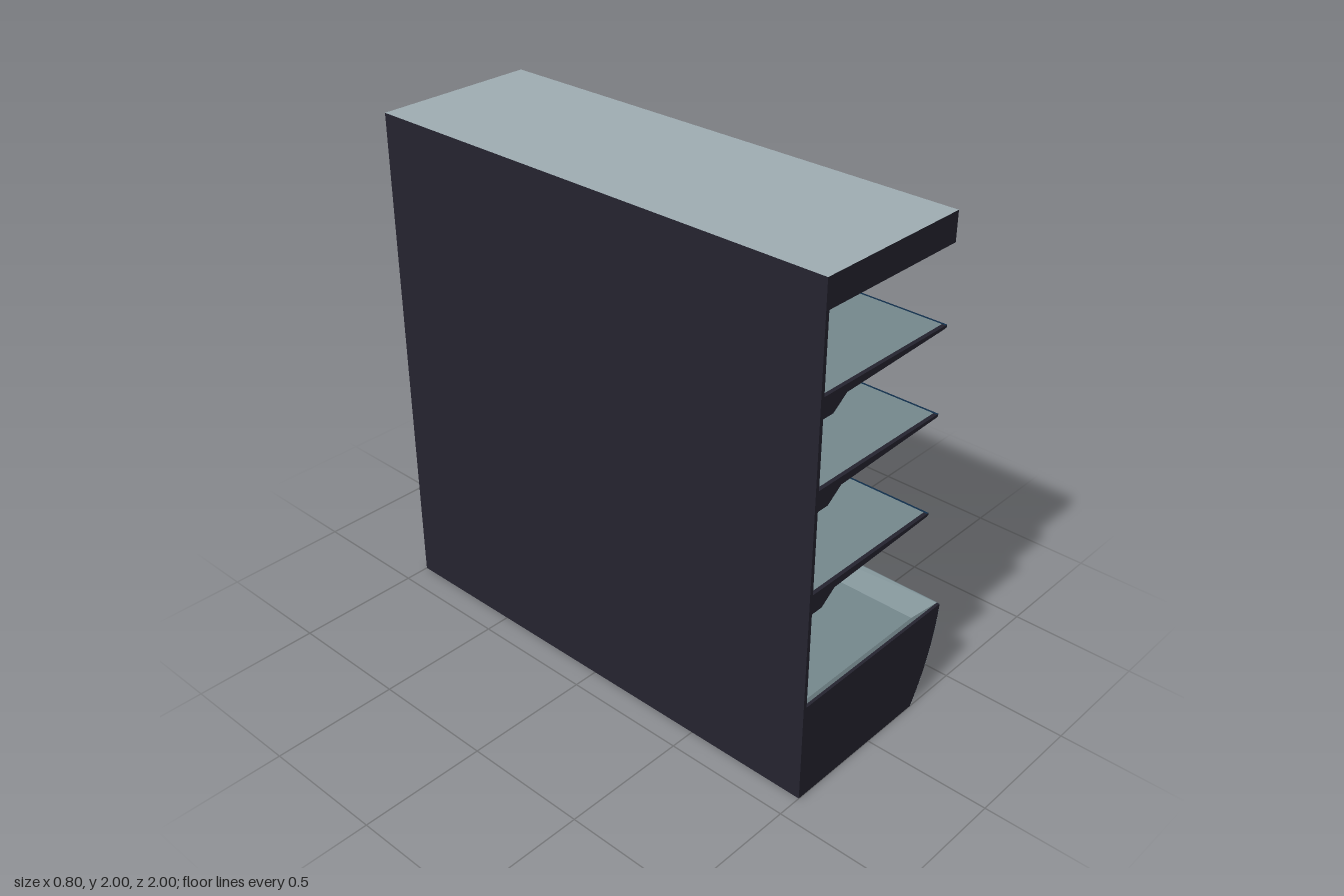
import * as THREE from 'three';
import { toCreasedNormals } from 'three/addons/utils/BufferGeometryUtils.js';

const mat = (name, color, side = THREE.FrontSide) => {
  const m = new THREE.MeshStandardMaterial({ color, side });
  m.name = name;
  return m;
};

export function createModel() {
  const root = new THREE.Group();
  root.name = 'openDisplayCooler';
  const dark = mat('charcoal', 0x252430);
  const light = mat('paleGrey', 0xa0aeb4);
  const steel = mat('greyTeal', 0x76898e, THREE.DoubleSide);
  const navy = mat('navy', 0x12304c);

  const add = (name, geo, material, parent = root) => {
    const m = new THREE.Mesh(geo, material);
    m.name = name;
    parent.add(m);
    return m;
  };
  // box given by its x, y and z ranges
  const box = (name, x0, x1, y0, y1, z0, z1, material, parent) => {
    const m = add(name, new THREE.BoxGeometry(x1 - x0, y1 - y0, z1 - z0), material, parent);
    m.position.set((x0 + x1) / 2, (y0 + y1) / 2, (z0 + z1) / 2);
    return m;
  };
  // side profile extruded from z0 to z1
  const slab = (name, shape, z0, z1, material, parent) => {
    const geo = new THREE.ExtrudeGeometry(shape, { depth: z1 - z0, bevelEnabled: false, curveSegments: 16 });
    const m = add(name, toCreasedNormals(geo, 0.5), material, parent);
    m.position.z = z0;
    return m;
  };
  const poly = (pts) => new THREE.Shape(pts.map(([x, y]) => new THREE.Vector2(x, y)));

  // back wall and canopy: dark outside, pale on the display side
  box('backPanel', -0.4, -0.385, 0, 1.89, -1, 1, [light, dark, dark, dark, dark, dark]);
  box('canopy', -0.4, 0.26, 1.89, 2, -1, 1, [light, dark, light, light, dark, dark]);

  // three tapered shelves with end brackets and a price strip
  [1.6, 1.266, 0.868].forEach((top, i) => {
    const shelf = new THREE.Group();
    shelf.name = 'shelf' + (i + 1);
    shelf.position.y = top;
    root.add(shelf);
    slab('shelfBoard', poly([[-0.385, -0.028], [-0.27, -0.028], [0.25, -0.01], [0.25, 0], [-0.385, 0]]),
      -0.985, 0.985, steel, shelf);
    const bracket = poly([[-0.385, -0.077], [-0.335, -0.077], [-0.27, -0.03], [0.25, -0.011], [0.257, -0.006],
      [0.257, -0.001], [0.25, 0], [-0.385, 0]]);
    slab('leftBracket', bracket, 0.985, 1, dark, shelf);
    slab('rightBracket', bracket, -1, -0.985, dark, shelf);
    box('priceStrip', 0.25, 0.259, -0.01, 0, -0.999, 0.999, navy, shelf);
  });

  // base ends and underside
  const curve = new THREE.QuadraticBezierCurve(
    new THREE.Vector2(0.26, 0), new THREE.Vector2(0.373, 0.18), new THREE.Vector2(0.396, 0.4));
  const end = poly([[-0.385, 0.4], [-0.385, 0], ...curve.getPoints(16).map((p) => [p.x, p.y])]);
  slab('baseLeftEnd', end, 0.988, 1, dark);
  slab('baseRightEnd', end, -1, -0.988, dark);
  box('baseBottom', -0.385, 0.26, 0, 0.01, -0.988, 0.988, dark);

  // bowed base front
  const front = new THREE.PlaneGeometry(2, 1, 1, 16);
  const pos = front.attributes.position;
  for (let i = 0; i < pos.count; i++) {
    const p = curve.getPoint(pos.getY(i) + 0.5);
    pos.setXYZ(i, p.x + 0.001, p.y, -pos.getX(i));
  }
  front.computeVertexNormals();
  add('baseFront', front, steel);

  // sunken tray: sloping walls between the rim and the floor
  const loop = (x0, x1, y, z) => [[x0, y, z], [x1, y, z], [x1, y, -z], [x0, y, -z]];
  const rim = loop(-0.385, 0.394, 0.4, 0.988);
  const floor = loop(-0.33, 0.34, 0.325, 0.92);
  const v = [];
  const quad = (a, b, c, d) => v.push(...a, ...b, ...c, ...a, ...c, ...d);
  for (let i = 0; i < 4; i++) {
    const j = (i + 1) % 4;
    quad(rim[i], rim[j], floor[j], floor[i]);
  }
  quad(...floor);
  const tray = new THREE.BufferGeometry();
  tray.setAttribute('position', new THREE.Float32BufferAttribute(v, 3));
  tray.computeVertexNormals();
  add('tray', tray, steel);

  return root;
}
